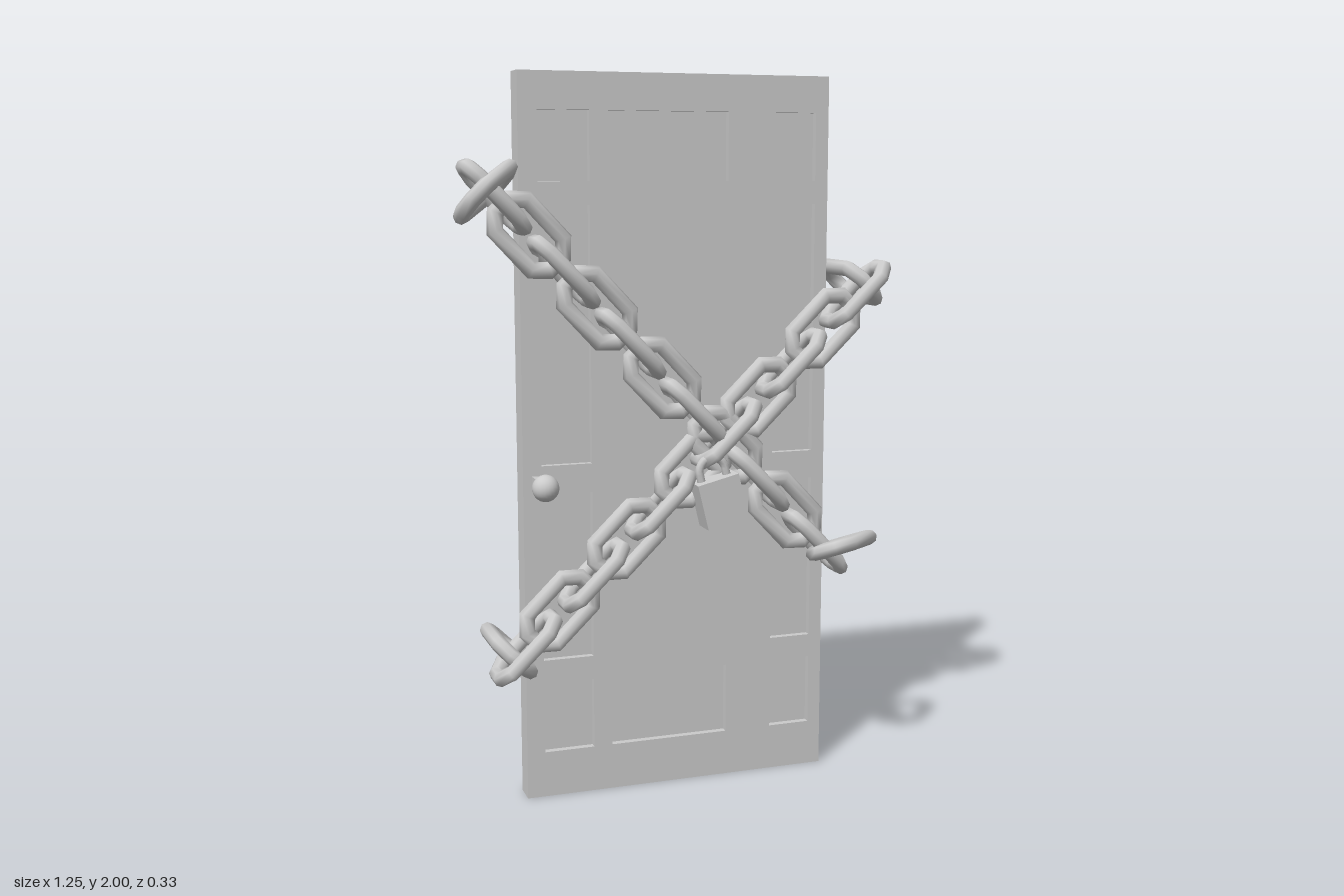
import * as THREE from 'three';

const V = (x, y, z) => new THREE.Vector3(x, y, z);
const material = new THREE.MeshStandardMaterial({ color: 0xcccccc });

// Chain link: round bar swept round an elongated octagon (long axis x, normal z)
function linkGeometry(halfLength = 0.105, halfWidth = 0.06, bar = 0.022, sides = 8) {
  const c = 0.035; // corner chamfer
  const quarter = [[halfLength, halfWidth - c], [halfLength - c, halfWidth]];
  const path = [
    ...quarter,
    ...quarter.map(([x, y]) => [-x, y]).reverse(),
    ...quarter.map(([x, y]) => [-x, -y]),
    ...quarter.map(([x, y]) => [x, -y]).reverse(),
  ].map(([x, y]) => new THREE.Vector2(x, y));
  const n = path.length, positions = [], index = [];
  path.forEach((p, i) => {
    const before = p.clone().sub(path[(i + n - 1) % n]).normalize();
    const after = path[(i + 1) % n].clone().sub(p).normalize();
    const t = before.clone().add(after).normalize();
    const miter = bar / t.dot(after);
    for (let j = 0; j < sides; j++) {
      const a = (j / sides) * Math.PI * 2;
      const out = Math.cos(a) * miter;
      positions.push(p.x + t.y * out, p.y - t.x * out, Math.sin(a) * bar);
      const j2 = (j + 1) % sides, i2 = (i + 1) % n;
      const A = i * sides + j, B = i2 * sides + j, C = i2 * sides + j2, D = i * sides + j2;
      index.push(A, B, C, A, C, D);
    }
  });
  const g = new THREE.BufferGeometry();
  g.setAttribute('position', new THREE.Float32BufferAttribute(positions, 3));
  g.setIndex(index);
  g.computeVertexNormals();
  return g;
}

function add(parent, name, geometry, x = 0, y = 0, z = 0) {
  const mesh = new THREE.Mesh(geometry, material);
  mesh.name = name;
  mesh.position.set(x, y, z);
  parent.add(mesh);
  return mesh;
}

// Place a link by its centre, its long axis and its flat normal
function addLink(parent, name, geometry, center, axis, normal) {
  const n = normal.clone().normalize();
  const u = axis.clone().addScaledVector(n, -axis.dot(n)).normalize();
  const mesh = add(parent, name, geometry, center.x, center.y, center.z);
  mesh.quaternion.setFromRotationMatrix(
    new THREE.Matrix4().makeBasis(u, n.clone().cross(u), n));
}

// Straight run of links, alternately edge-on and flat to the door
function makeChain(name, geometry, start, end, count) {
  const chain = new THREE.Group();
  chain.name = name;
  const dir = end.clone().sub(start).normalize();
  const across = V(-dir.y, dir.x, 0);
  for (let i = 0; i < count; i++) {
    const center = start.clone().lerp(end, i / (count - 1));
    addLink(chain, 'chainLink', geometry, center, dir, i % 2 ? V(0, 0, 1) : across);
  }
  return chain;
}

function rectangle(target, x0, x1, y0, y1) {
  target.moveTo(x0, y0);
  target.lineTo(x1, y0);
  target.lineTo(x1, y1);
  target.lineTo(x0, y1);
  target.closePath();
  return target;
}

function makeDoor() {
  const door = new THREE.Group();
  door.name = 'door';
  const x0 = -0.435, x1 = 0.455, back = -0.084, front = -0.017, recess = 0.02;
  const slab = front - recess - back;
  add(door, 'doorSlab', new THREE.BoxGeometry(x1 - x0, 2, slab), (x0 + x1) / 2, 1, back + slab / 2);

  // Front layer pierced by the sunken panels
  const face = rectangle(new THREE.Shape(), x0, x1, 0, 2);
  const rows = [[0.13, 0.33], [0.397, 0.867], [0.947, 1.65], [1.713, 1.9]];
  const columns = [[-0.383, -0.24], [-0.187, 0.157], [0.294, 0.417]];
  columns.forEach(([a, b], column) => rows.forEach(([c, d], row) => {
    const plainMiddle = column === 1 && (row === 1 || row === 2);
    if (!plainMiddle) face.holes.push(rectangle(new THREE.Path(), a, b, c, d));
  }));
  add(door, 'doorFace', new THREE.ExtrudeGeometry(face, { depth: recess, bevelEnabled: false }),
    0, 0, front - recess);

  // Knob on a square stem
  add(door, 'knobStem', new THREE.BoxGeometry(0.04, 0.04, 0.07), -0.39, 0.9, 0.012);
  add(door, 'knob', new THREE.SphereGeometry(0.037, 20, 14), -0.39, 0.9, 0.055);
  return door;
}

function makePadlock() {
  const lock = new THREE.Group();
  lock.name = 'padlock';
  add(lock, 'padlockBody', new THREE.BoxGeometry(0.122, 0.13, 0.075));
  add(lock, 'padlockShackle', new THREE.TorusGeometry(0.038, 0.012, 8, 12, Math.PI), 0, 0.085, 0);
  for (const side of [-1, 1]) {
    add(lock, 'shackleLeg', new THREE.CylinderGeometry(0.012, 0.012, 0.03, 8), side * 0.038, 0.072, 0);
  }
  lock.position.set(0.1, 0.84, 0.073);
  lock.rotation.z = 0.24;
  return lock;
}

export function createModel() {
  const model = new THREE.Group();
  model.name = 'chainedDoor';
  const link = linkGeometry();
  model.add(makeDoor(), makePadlock());

  // Two crossing chains
  const z = 0.028;
  const rising = makeChain('risingChain', link, V(-0.445, 0.455, z), V(0.524, 1.397, z), 11);
  const falling = makeChain('fallingChain', link, V(-0.51, 1.672, z), V(0.41, 0.69, z), 11);

  // End links of the rising chain hook round the door edges
  for (const center of [V(-0.478, 0.43, -0.04), V(0.543, 1.427, -0.04)]) {
    addLink(rising, 'hookingLink', link, center, V(0, 0, 1), V(1, 1, 0));
  }
  // End links of the falling chain hang loose at a slant
  addLink(falling, 'looseLink', link, V(-0.532, 1.687, 0.028), V(0.5, 0.4, -0.75), V(-0.68, 0.68, -0.25));
  addLink(falling, 'looseLink', link, V(0.487, 0.675, 0.05), V(0.7, 0, -0.7), V(-0.2, 1, -0.33));

  model.add(rising, falling);
  return model;
}
